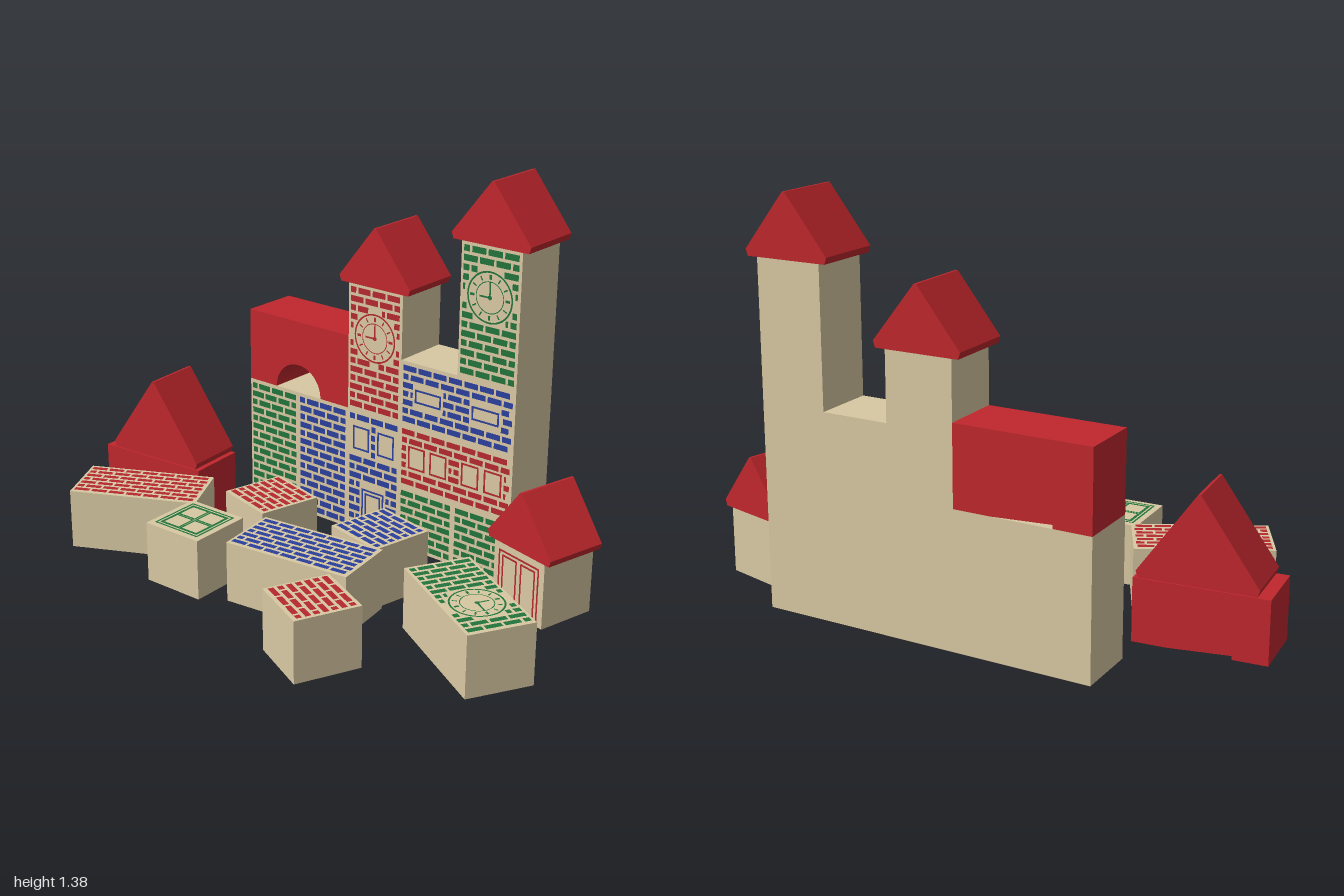
import * as THREE from 'three';
import { mergeGeometries } from 'three/addons/utils/BufferGeometryUtils.js';

const U = 0.234; // side of a printed cube face
const D = 0.215; // block thickness
const WALL_Z = -0.475;

const mat = (color, side = THREE.FrontSide) => new THREE.MeshStandardMaterial({ color, side });
const wood = mat(0xd9c9a3);
const redPaint = mat(0xc0272d, THREE.DoubleSide);
const inks = { red: mat(0xb5282e), green: mat(0x22743c), blue: mat(0x2a3f9c) };

function mesh(name, geo, material) {
  const m = new THREE.Mesh(geo, material);
  m.name = name;
  return m;
}

const bar = (x, y, w, h, angle = 0) =>
  new THREE.PlaneGeometry(w, h).rotateZ(angle).translate(x, y, 0);

// Outlined rectangle made of four thin bars
function frame(x, y, w, h, t = 0.007) {
  return [
    bar(x, y + h / 2 - t / 2, w, t), bar(x, y - h / 2 + t / 2, w, t),
    bar(x - w / 2 + t / 2, y, t, h - 2 * t), bar(x + w / 2 - t / 2, y, t, h - 2 * t),
  ];
}

// Clock dial showing nine o'clock
function clock(x, y) {
  const parts = [
    new THREE.RingGeometry(0.083, 0.089, 40).translate(x, y, 0),
    new THREE.RingGeometry(0.052, 0.055, 40).translate(x, y, 0),
    new THREE.CircleGeometry(0.008, 16).translate(x, y, 0),
    bar(x, y + 0.027, 0.006, 0.054), bar(x - 0.02, y, 0.04, 0.006),
  ];
  for (let i = 0; i < 12; i++) {
    const a = i * Math.PI / 6;
    parts.push(bar(x + 0.069 * Math.cos(a), y + 0.069 * Math.sin(a), 0.016, i % 3 ? 0.005 : 0.009, a));
  }
  return parts;
}

// Staggered bricks that keep clear of the given rectangles and the dial
function bricks(w, h, openings, dial) {
  const parts = [];
  const rows = Math.round((h - 0.016) / 0.0312);
  const pitch = (h - 0.016) / rows, step = 0.0635, gap = 0.009, edge = w / 2 - 0.01;
  for (let r = 0; r < rows; r++) {
    const y = -h / 2 + 0.008 + (r + 0.5) * pitch;
    for (let x = -edge - (r % 2 ? step / 2 : 0); x < edge; x += step) {
      let a = Math.max(x, -edge), b = Math.min(x + step - gap, edge);
      for (const o of openings) {
        if (Math.abs(y - o.y) > o.h / 2 + 0.012) continue;
        const lo = o.x - o.w / 2 - 0.009, hi = o.x + o.w / 2 + 0.009;
        if (a < hi && b > lo) { if (a < lo) b = lo; else a = hi; }
      }
      if (dial && Math.abs(y - dial.y) < 0.1) {
        const c = Math.sqrt(0.01 - (y - dial.y) ** 2);
        if (a < c && b > -c) { if (a < -c) b = -c; else a = c; }
      }
      if (b - a > 0.008) parts.push(bar((a + b) / 2, y, b - a, pitch - 0.011));
    }
  }
  return parts;
}

// Wooden block, centred, with its print on +z
function block(name, w, h, ink, { openings = [], dial = null, plain = false } = {}) {
  const g = new THREE.Group();
  g.name = name;
  g.add(mesh('woodBlock', new THREE.BoxGeometry(w, h, D), wood));
  const print = plain ? [] : bricks(w, h, openings, dial);
  for (const o of openings) print.push(...frame(o.x, o.y, o.w, o.h));
  if (dial) print.push(...clock(0, dial.y));
  const p = mesh('paintedPattern', mergeGeometries(print), inks[ink]);
  p.position.z = D / 2 + 0.0015;
  g.add(p);
  return g;
}

// Gable roof with a small slanted lip, ridge along z
function roof(name, w, h, depth) {
  const s = new THREE.Shape([[-w / 2 + 0.007, 0], [w / 2 - 0.007, 0], [w / 2, 0.022], [0.004, h], [-0.004, h], [-w / 2, 0.022]]
    .map(([x, y]) => new THREE.Vector2(x, y)));
  const geo = new THREE.ExtrudeGeometry(s, { depth, bevelEnabled: false }).translate(0, 0, -depth / 2);
  return mesh(name, geo, redPaint);
}

// Bridge block: half-round recess closed at the back
function arch(name, w, h) {
  const r = 0.105;
  const s = new THREE.Shape();
  s.moveTo(-w / 2, 0);
  s.lineTo(-r, 0);
  s.absarc(0, 0, r, Math.PI, 0, true);
  s.lineTo(w / 2, 0);
  s.lineTo(w / 2, h);
  s.lineTo(-w / 2, h);
  const g = new THREE.Group();
  g.name = name;
  g.add(mesh('archBody', new THREE.ExtrudeGeometry(s, { depth: D, bevelEnabled: false, curveSegments: 24 }).translate(0, 0, -D / 2), redPaint));
  const back = new THREE.Shape();
  back.moveTo(r, 0);
  back.absarc(0, 0, r, 0, Math.PI - 0.12, false);
  const panel = mesh('archBack', new THREE.ShapeGeometry(back, 24), redPaint);
  panel.position.z = -D / 2;
  g.add(panel);
  return g;
}

export function createModel() {
  const model = new THREE.Group();
  model.name = 'toyBlockCastle';
  const place = (o, x, y, z, deg = 0) => {
    o.position.set(x, y, z);
    o.rotation.y = THREE.MathUtils.degToRad(deg);
    model.add(o);
  };
  const standing = (o, col, row) => place(o, -0.6 + col * U, row * U, WALL_Z);
  const win = (x, y, w, h) => ({ x, y, w, h });

  // Castle wall, columns and rows counted in cube widths
  standing(block('greenWallBlock', U, 2 * U, 'green'), 0.5, 1);
  standing(block('blueWallBlock', U, 2 * U, 'blue'), 1.5, 1);
  standing(block('doorBlock', U, 2 * U, 'blue', {
    openings: [win(-0.055, 0.13, 0.074, 0.09), win(0.055, 0.13, 0.074, 0.09), win(0, -0.145, 0.1, 0.17), win(0, -0.145, 0.07, 0.14)],
  }), 2.5, 1);
  for (const col of [3.5, 4.5]) standing(block('greenBaseCube', U, U, 'green'), col, 0.5);
  standing(block('redWindowBlock', 2 * U, U, 'red', {
    openings: [-0.16, -0.068, 0.065, 0.158].map((x) => win(x, 0.002, 0.072, 0.085)),
  }), 4, 1.5);
  standing(block('blueWindowBlock', 2 * U, U, 'blue', {
    openings: [-0.118, 0.118].map((x) => win(x, 0, 0.11, 0.05)),
  }), 4, 2.5);

  // Towers and upper bridge
  standing(block('redClockTower', U, 2 * U, 'red', { dial: { y: 0.05 } }), 2.5, 3);
  standing(block('greenClockTower', U, 2 * U, 'green', { dial: { y: 0.06 } }), 4.5, 4);
  standing(roof('middleTowerRoof', 0.305, 0.21, 0.234), 2.5, 4);
  standing(roof('tallTowerRoof', 0.305, 0.21, 0.234), 4.5, 5);
  standing(arch('upperBridge', 2 * U, 0.27), 1, 2);

  // Roofed bridge beside the wall
  place(arch('lowBridge', 0.44, D), -0.778, 0, -0.113, 5.2);
  place(roof('bridgeRoof', 0.395, 0.297, 0.212), -0.765, D + 0.002, -0.115, 5.2);

  // Small house
  place(block('houseCube', U, U, 'red', {
    plain: true,
    openings: [win(0, -0.01, 0.19, 0.2), win(-0.043, -0.01, 0.07, 0.17), win(0.043, -0.01, 0.07, 0.17)],
  }), 0.738, U / 2, -0.315, -13.8);
  place(roof('houseRoof', 0.295, 0.205, 0.226), 0.738, U, -0.315, -13.8);

  // Loose blocks lying with the print up
  const lying = (o, x, z, deg, spin = 0) => {
    const g = new THREE.Group();
    g.name = 'loose' + o.name[0].toUpperCase() + o.name.slice(1);
    o.rotation.set(-Math.PI / 2, 0, spin);
    g.add(o);
    place(g, x, D / 2, z, deg);
  };
  const S = 0.23;
  lying(block('redLongBlock', 2 * S, S, 'red'), -0.62, 0.185, 27.4);
  lying(block('redCube', S, S, 'red'), -0.215, -0.048, -14);
  lying(block('windowCube', S, S, 'green', {
    plain: true,
    openings: [win(0, 0, 0.19, 0.19), win(0, 0, 0.165, 0.165), win(-0.04, 0.04, 0.078, 0.078), win(0.04, 0.04, 0.078, 0.078), win(-0.04, -0.04, 0.078, 0.078), win(0.04, -0.04, 0.078, 0.078)],
  }), -0.27, 0.278, 2);
  lying(block('blueLongBlock', 2 * S, S, 'blue'), 0.138, 0.185, 8);
  lying(block('blueCube', S, S, 'blue'), 0.243, -0.08, -12);
  lying(block('redCube', S, S, 'red'), 0.385, 0.435, -24);
  lying(block('clockBlock', S, 2 * S, 'green', { dial: { y: 0.06 } }), 0.738, 0.108, -29, -Math.PI / 2);

  return model;
}
